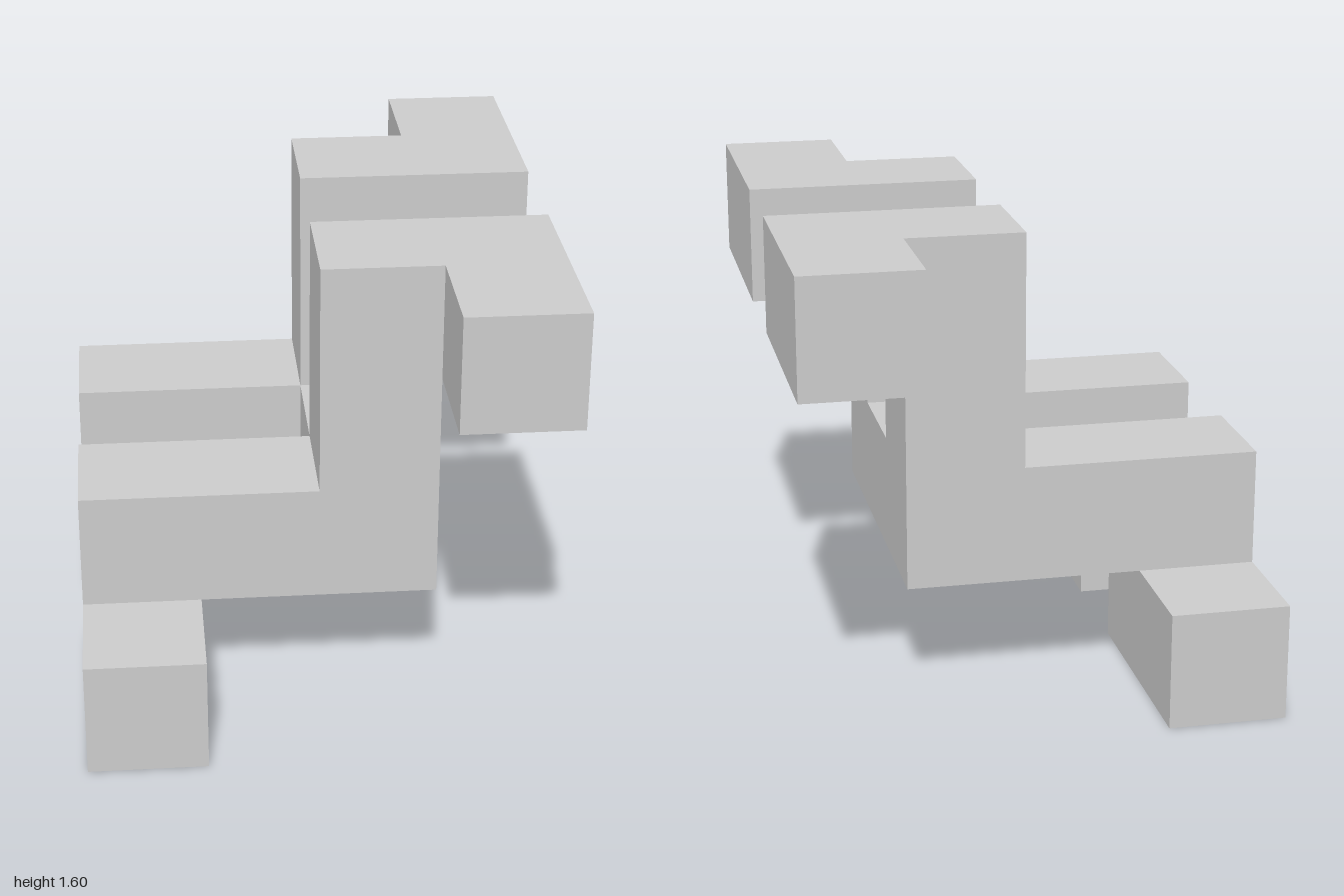
import * as THREE from 'three';

const U = 0.4; // edge of one cube unit
const material = new THREE.MeshStandardMaterial({ color: 0xcccccc, flatShading: true });

function addMesh(parent, name, geometry, x, y, z) {
  const mesh = new THREE.Mesh(geometry, material);
  mesh.name = name;
  mesh.position.set(x, y, z);
  parent.add(mesh);
}

export function createModel() {
  const model = new THREE.Group();
  model.name = 'interlockingBlock';

  // Stepped side slab: foot, horizontal run, upright column and top arm
  const outline = [
    [-2, 0], [-1, 0], [-1, 1], [1, 1], [1, 3],
    [2, 3], [2, 4], [0, 4], [0, 2], [-2, 2],
  ].map(([x, y]) => new THREE.Vector2(x * U, y * U));
  const slab = new THREE.ExtrudeGeometry(new THREE.Shape(outline), { depth: U, bevelEnabled: false });
  slab.translate(0, 0, -U / 2);
  const cube = new THREE.BoxGeometry(U, U, U);

  // Front and back halves mirror each other
  for (const [half, s] of [['front', 1], ['back', -1]]) {
    const group = new THREE.Group();
    group.name = half + 'Half';
    addMesh(group, half + 'SteppedSlab', slab, 0, 0, s * U);
    addMesh(group, half + 'FootEnd', cube, -1.5 * U, 0.5 * U, s * 2 * U);
    addMesh(group, half + 'ArmEnd', cube, 1.5 * U, 3.5 * U, s * 2 * U);
    model.add(group);
  }

  // Bridge joining the halves at the corner of the slabs
  addMesh(model, 'bridge', cube, 0.5 * U, 1.5 * U, 0);

  return model;
}
